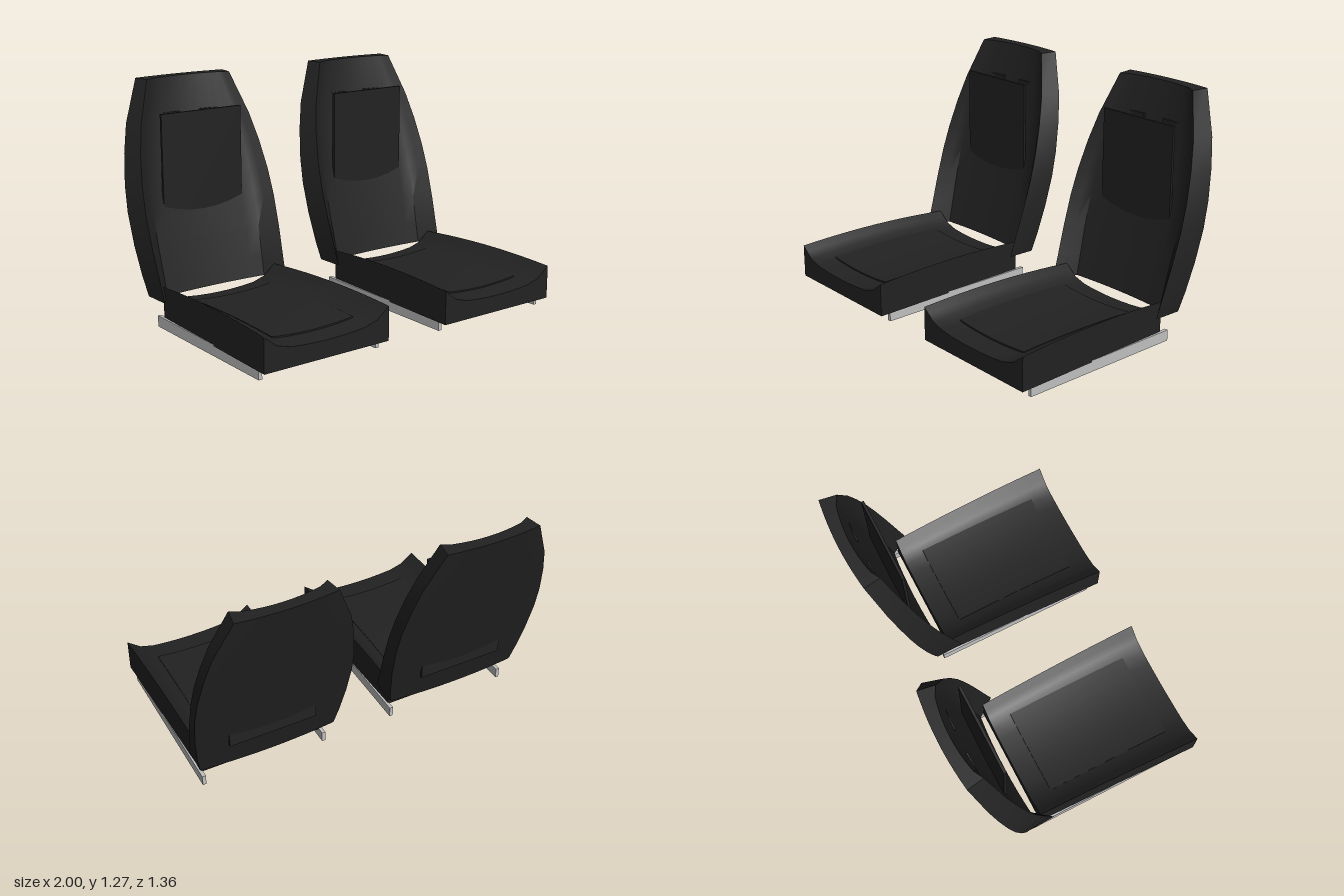
import * as THREE from 'three';
import { toCreasedNormals } from 'three/addons/utils/BufferGeometryUtils.js';

const black = new THREE.MeshStandardMaterial({ color: 0x222222 });
black.name = 'black upholstery';
const metal = new THREE.MeshStandardMaterial({ color: 0xc0c0c0 });
metal.name = 'grey metal';

// Across-the-seat stations, denser near the bolsters
const US = [-1, -0.9, -0.8, -0.6, -0.4, -0.2, 0, 0.2, 0.4, 0.6, 0.8, 0.9, 1];
const { lerp } = THREE.MathUtils;

// Closed slab from rows of rings; each ring is a face side then its reverse side
function loft(rows, crease = 0.65) {
  const m = rows[0].length, n = m / 2, last = (rows.length - 1) * m, index = [];
  for (let r = 0; r < rows.length - 1; r++) {
    for (let i = 0; i < m; i++) {
      const a = r * m + i, b = r * m + (i + 1) % m;
      index.push(a, b, b + m, a, b + m, a + m);
    }
  }
  for (let i = 0; i < n - 1; i++) {
    const j = m - 1 - i;
    index.push(i, j - 1, i + 1, i, j, j - 1);
    index.push(last + i, last + i + 1, last + j - 1, last + i, last + j - 1, last + j);
  }
  const geo = new THREE.BufferGeometry();
  geo.setAttribute('position', new THREE.Float32BufferAttribute(rows.flat(2), 3));
  geo.setIndex(index);
  return toCreasedNormals(geo, crease);
}

function ring(face, reverse) {
  return [...US.map(face), ...[...US].reverse().map(reverse)];
}

// Backrest: height, half width, and inset of the front rim
function backrestGeometry() {
  const outline = [
    [0.16, 0.388, 0.005], [0.27, 0.408, 0.02], [0.43, 0.427, 0.03], [0.6, 0.435, 0.035],
    [0.74, 0.427, 0.035], [0.9, 0.402, 0.033], [1.05, 0.365, 0.03], [1.275, 0.27, 0.015],
  ];
  return loft(outline.map(([y, hw, inset]) => {
    const t = (y - 0.16) / 1.115;
    const centre = lerp(-0.34, -0.618, t), rim = lerp(-0.222, -0.565, t), rear = lerp(-0.4, -0.68, t);
    const knee = lerp(0.015, 0.025, t);
    const frontZ = (u) => {
      const a = Math.abs(u);
      return a <= 0.8 ? centre + knee * (a / 0.8) ** 2 : lerp(centre + knee, rim, (a - 0.8) / 0.2);
    };
    return ring(
      (u) => [u * (hw - inset), y, frontZ(u)],
      (u) => [u * hw, y, rear + 0.02 * u * u],
    );
  }));
}

// Height of the cushion top: dished centre, raised side bolsters, arched lengthwise
function cushionTop(u, z) {
  const a = Math.abs(u);
  const y = a <= 0.75 ? 0.158 + 0.02 * (a / 0.75) ** 2 : lerp(0.178, 0.25, (a - 0.75) / 0.25);
  return y - 0.081 * (z - 0.25) ** 2;
}

const cushionHalf = (z) => lerp(0.35, 0.375, (z + 0.29) / 0.97);

function cushionGeometry() {
  const rows = [];
  for (let k = 0; k <= 10; k++) {
    const z = lerp(0.68, -0.29, k / 10), hw = cushionHalf(z);
    rows.push(ring((u) => [u * hw, cushionTop(u, z), z], (u) => [u * hw, 0.052, z]));
  }
  return loft(rows);
}

// Raised centre pad that follows the cushion top
function padGeometry() {
  const rows = [], half = 0.245;
  for (let k = 0; k <= 8; k++) {
    const z = lerp(0.555, -0.17, k / 8);
    const top = (u) => cushionTop(u * half / cushionHalf(z), z);
    rows.push(ring((u) => [u * half, top(u) + 0.008, z], (u) => [u * half, top(u) - 0.01, z]));
  }
  return loft(rows);
}

function createSeat() {
  const seat = new THREE.Group();
  const add = (name, geo, mat, x = 0, y = 0, z = 0) => {
    const mesh = new THREE.Mesh(geo, mat);
    mesh.name = name;
    mesh.position.set(x, y, z);
    seat.add(mesh);
  };
  add('cushion', cushionGeometry(), black);
  add('cushionPad', padGeometry(), black);
  add('backrest', backrestGeometry(), black);

  // Upright panel passing through the backrest
  add('backPanel', new THREE.BoxGeometry(0.49, 0.777, 0.015), black, 0, 0.7175, -0.449);

  for (const side of [-1, 1]) {
    // Small tabs behind the panel's upper edge
    add('backTab', new THREE.BoxGeometry(0.11, 0.02, 0.03), black, side * 0.12, 1.08, -0.575);
    // Floor rails
    add('rail', new THREE.BoxGeometry(0.02, 0.06, 0.95), metal, side * 0.353, 0.03, 0.14);
  }
  return seat;
}

export function createModel() {
  const model = new THREE.Group();
  model.name = 'seatPair';
  for (const [name, x] of [['leftSeat', 0.565], ['rightSeat', -0.565]]) {
    const seat = createSeat();
    seat.name = name;
    seat.position.x = x;
    model.add(seat);
  }
  return model;
}
